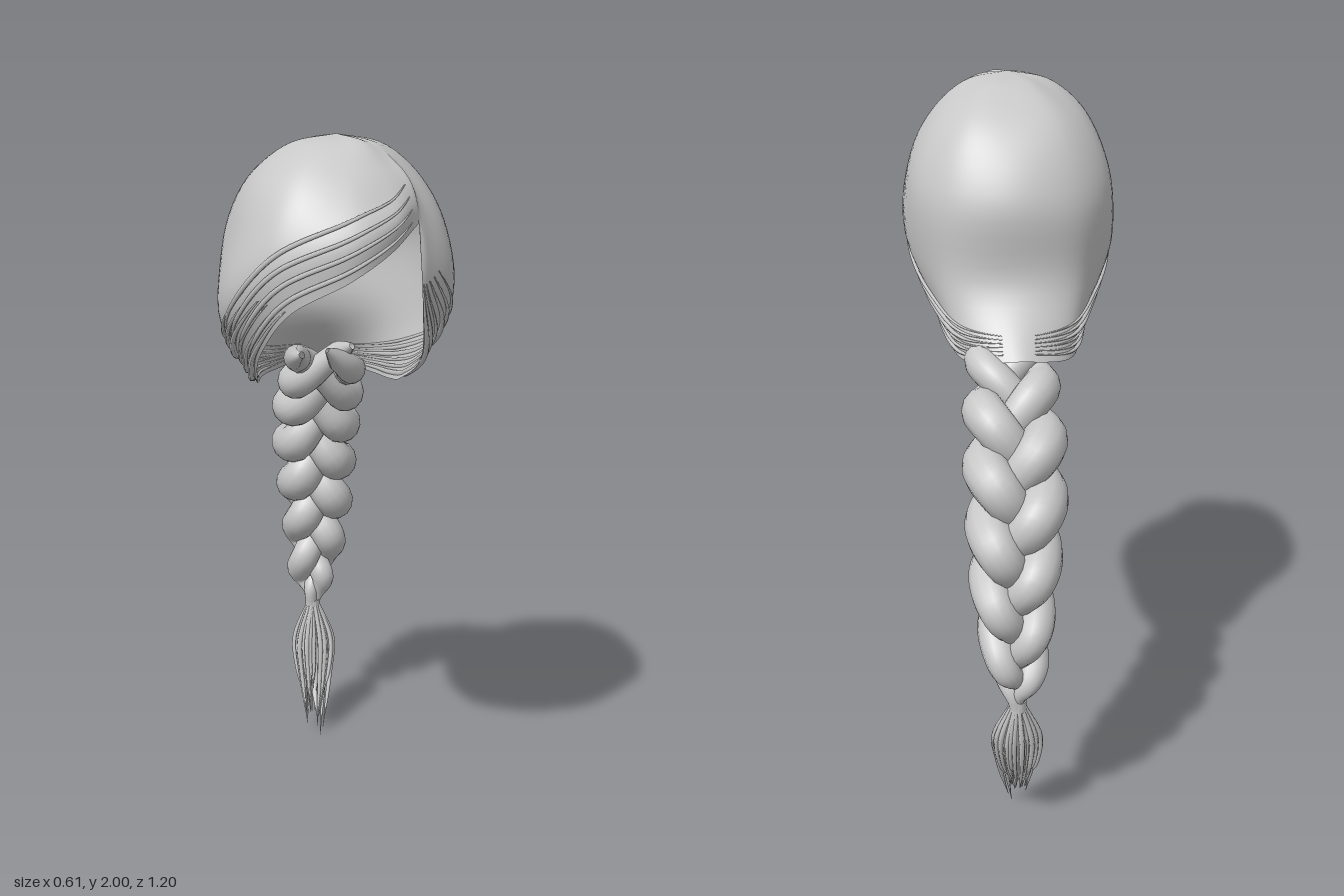
import * as THREE from 'three';
import { mergeVertices } from 'three/addons/utils/BufferGeometryUtils.js';

const V = (x, y, z) => new THREE.Vector3(x, y, z);
const hair = new THREE.MeshStandardMaterial({ color: 0xc8c8c8, side: THREE.DoubleSide });
hair.name = 'hair grey';

// smooth value from evenly spaced samples
function ramp(values, t) {
  const f = Math.min(Math.max(t, 0), 1) * (values.length - 1);
  const i = Math.min(Math.floor(f), values.length - 2);
  const k = f - i;
  return values[i] + (values[i + 1] - values[i]) * k * k * (3 - 2 * k);
}

// tube whose radius follows radiusAt(t)
function taperedTube(name, points, radiusAt, segments, sides) {
  const geo = new THREE.TubeGeometry(new THREE.CatmullRomCurve3(points), segments, 1, sides);
  const p = geo.attributes.position, n = geo.attributes.normal;
  for (let i = 0; i < p.count; i++) {
    const d = radiusAt(Math.floor(i / (sides + 1)) / segments) - 1;
    p.setXYZ(i, p.getX(i) + n.getX(i) * d, p.getY(i) + n.getY(i) * d, p.getZ(i) + n.getZ(i) * d);
  }
  const mesh = new THREE.Mesh(geo, hair);
  mesh.name = name;
  return mesh;
}

// cap guide lines, each from crown to rim, going round from the parting
const crown = [0, 2, 0.29];
const parting = [[0.08, 1.98, 0.37], [0.13, 1.94, 0.42], [0.16, 1.9, 0.45], [0.175, 1.85, 0.47], [0.18, 1.8, 0.475]];
const backSide = [[-0.09, 1.975, 0.21], [-0.2, 1.88, 0.11], [-0.265, 1.72, 0.06], [-0.25, 1.5, 0.05], [-0.185, 1.31, 0.04]];
const nape = [[-0.06, 1.975, 0.15], [-0.125, 1.88, 0.01], [-0.17, 1.7, -0.07], [-0.16, 1.48, -0.08], [-0.14, 1.29, -0.16]];
const flip = (line) => line.map(([x, y, z]) => [-x, y, z]);
const guides = [
  parting,
  [[0.05, 1.985, 0.4], [0.08, 1.93, 0.465], [0.1, 1.87, 0.515], [0.11, 1.81, 0.555], [0.1, 1.74, 0.56]],
  [[0, 1.98, 0.41], [0, 1.925, 0.485], [0, 1.86, 0.545], [0, 1.77, 0.6], [0, 1.68, 0.6]],
  [[-0.06, 1.98, 0.39], [-0.11, 1.92, 0.47], [-0.15, 1.83, 0.525], [-0.175, 1.71, 0.555], [-0.14, 1.6, 0.56]],
  [[-0.1, 1.975, 0.35], [-0.19, 1.89, 0.42], [-0.245, 1.76, 0.44], [-0.275, 1.61, 0.44], [-0.205, 1.47, 0.42]],
  [[-0.12, 1.975, 0.28], [-0.22, 1.89, 0.28], [-0.275, 1.75, 0.28], [-0.3, 1.54, 0.27], [-0.2, 1.36, 0.23]],
  backSide,
  nape,
  [[0, 1.973, 0.13], [0, 1.875, -0.02], [0, 1.7, -0.118], [0, 1.48, -0.115], [0, 1.31, -0.24]],
  flip(nape),
  flip(backSide),
  [[0.12, 1.975, 0.28], [0.22, 1.89, 0.27], [0.285, 1.76, 0.26], [0.3, 1.55, 0.24], [0.19, 1.35, 0.2]],
  [[0.11, 1.975, 0.33], [0.2, 1.895, 0.36], [0.26, 1.78, 0.385], [0.285, 1.62, 0.38], [0.22, 1.42, 0.31]],
  [[0.09, 1.98, 0.36], [0.155, 1.915, 0.41], [0.195, 1.83, 0.445], [0.21, 1.72, 0.455], [0.205, 1.57, 0.42]],
  parting,
].map((line) => new THREE.CatmullRomCurve3([crown, ...line].map((p) => V(...p))));
const BACK = 8 / 14;

const ringAt = (v) => new THREE.CatmullRomCurve3(guides.map((g) => g.getPoint(v)));

function makeCap() {
  const rows = 28, cols = 112, pos = [], index = [];
  for (let r = 0; r <= rows; r++) {
    const ring = r ? ringAt(r / rows) : null;
    for (let c = 0; c <= cols; c++) {
      pos.push(...(ring ? ring.getPoint(c / cols).toArray() : crown));
      if (r === rows || c === cols) continue;
      const a = r * (cols + 1) + c, b = a + cols + 1;
      if (r) index.push(a, a + 1, b);
      index.push(a + 1, b + 1, b);
    }
  }
  let geo = new THREE.BufferGeometry();
  geo.setAttribute('position', new THREE.Float32BufferAttribute(pos, 3));
  geo.setIndex(index);
  geo = mergeVertices(geo);
  geo.computeVertexNormals();
  const mesh = new THREE.Mesh(geo, hair);
  mesh.name = 'hairCap';
  return mesh;
}

// raised strands sweeping along the rim from u0 to u1, lifted off the inside of the cap
const headCentre = V(0, 1.65, 0.24);
function rimStrand(u0, u1, v0, v1, radius) {
  const pts = [];
  for (let i = 0; i <= 20; i++) {
    const t = i / 20;
    const p = ringAt(v0 + (v1 - v0) * t).getPoint(u0 + (u1 - u0) * t);
    const lift = p.clone().sub(headCentre).setLength(radius * 0.7 * Math.sin(Math.PI * t));
    pts.push(p.add(lift));
  }
  return taperedTube('rimStrand', pts, (t) => radius * Math.sin(Math.PI * Math.min(0.98, t + 0.02)) + 0.001, 50, 6);
}

// centre line of the braid, top to bottom
const spine = new THREE.CatmullRomCurve3([
  V(0.02, 1.37, -0.07), V(0.02, 1.26, -0.2), V(0.02, 1.16, -0.32), V(0.02, 1.02, -0.41),
  V(0.025, 0.88, -0.46), V(0.03, 0.74, -0.485), V(0.025, 0.58, -0.495), V(0.02, 0.41, -0.485),
]);
const TURNS = 2.35;

function braidStrand(k) {
  const pts = [];
  for (let i = 0; i <= 80; i++) {
    const t = i / 80;
    const p = spine.getPointAt(t), d = spine.getTangentAt(t);
    const angle = (t * TURNS + k / 3) * Math.PI * 2;
    const side = ramp([0.085, 0.078, 0.08, 0.078, 0.07, 0.062, 0.055, 0.045, 0.006], t) * Math.sin(angle);
    const depth = ramp([0.015, 0.02, 0.035, 0.05, 0.058, 0.058, 0.048, 0.038, 0.006], t) * Math.sin(2 * angle);
    pts.push(V(p.x + side, p.y + d.z * depth, p.z - d.y * depth));
  }
  // fullest where the strand turns at the outside
  const radius = (t) => {
    const bulge = 0.9 + 0.16 * Math.sin((t * TURNS + k / 3) * Math.PI * 2) ** 2;
    return ramp([0.036, 0.045, 0.056, 0.06, 0.062, 0.06, 0.053, 0.044, 0.018], t) * bulge * Math.min(1, 0.25 + t * 25);
  };
  return taperedTube('braidStrand', pts, radius, 160, 14);
}

function makeTuft() {
  const tuft = new THREE.Group();
  tuft.name = 'braidTuft';
  let seed = 7;
  const rand = () => (seed = (seed * 16807) % 2147483647) / 2147483647;
  tuft.add(taperedTube('tuftCore',
    [V(0.02, 0.42, -0.485), V(0.018, 0.3, -0.465), V(0.018, 0.18, -0.425), V(0.02, 0.06, -0.36)],
    (t) => ramp([0.018, 0.038, 0.026, 0.012, 0.002], t), 24, 10));
  for (let i = 0; i < 32; i++) {
    const a = i * 2.4, s = 0.6 + 0.4 * rand(), cx = Math.cos(a) * s, cz = Math.sin(a) * s;
    const end = i === 0 ? 0.002 : 0.02 + 0.13 * rand();
    tuft.add(taperedTube('tuftStrand', [
      V(0.02 + cx * 0.018, 0.415, -0.485 + cz * 0.018),
      V(0.018 + cx * 0.068, 0.3, -0.46 + cz * 0.05),
      V(0.016 + cx * 0.06, 0.2, -0.43 + cz * 0.045),
      V(0.01 + cx * 0.03, end, -0.33 - end * 0.45 + cz * 0.015),
    ], (t) => ramp([0.007, 0.009, 0.007, 0.001], t), 18, 5));
  }
  return tuft;
}

export function createModel() {
  const model = new THREE.Group();
  model.name = 'braidedHair';
  model.add(makeCap());

  // strands on both sides gathered toward the nape
  for (let i = 0; i < 6; i++) {
    const v = 0.8 + i * 0.035, r = 0.005 + (i % 3) * 0.002;
    model.add(rimStrand(0.26 - i * 0.008, BACK - 0.02, v, 0.93 + i * 0.01, r));
    model.add(rimStrand(0.9 + i * 0.01, BACK + 0.02, v, 0.93 + i * 0.01, r));
  }
  // strands of the swept fringe
  for (let i = 0; i < 4; i++) model.add(rimStrand(0.02, 0.36, 0.6 + i * 0.11, 0.87 + i * 0.03, 0.006));

  const braid = new THREE.Group();
  braid.name = 'braid';
  for (let k = 0; k < 3; k++) braid.add(braidStrand(k));
  model.add(braid);

  // band at the end of the braid
  const band = new THREE.Mesh(new THREE.CylinderGeometry(0.024, 0.024, 0.03, 16), hair);
  band.name = 'braidBand';
  band.position.set(0.02, 0.415, -0.485);
  model.add(band, makeTuft());
  return model;
}
